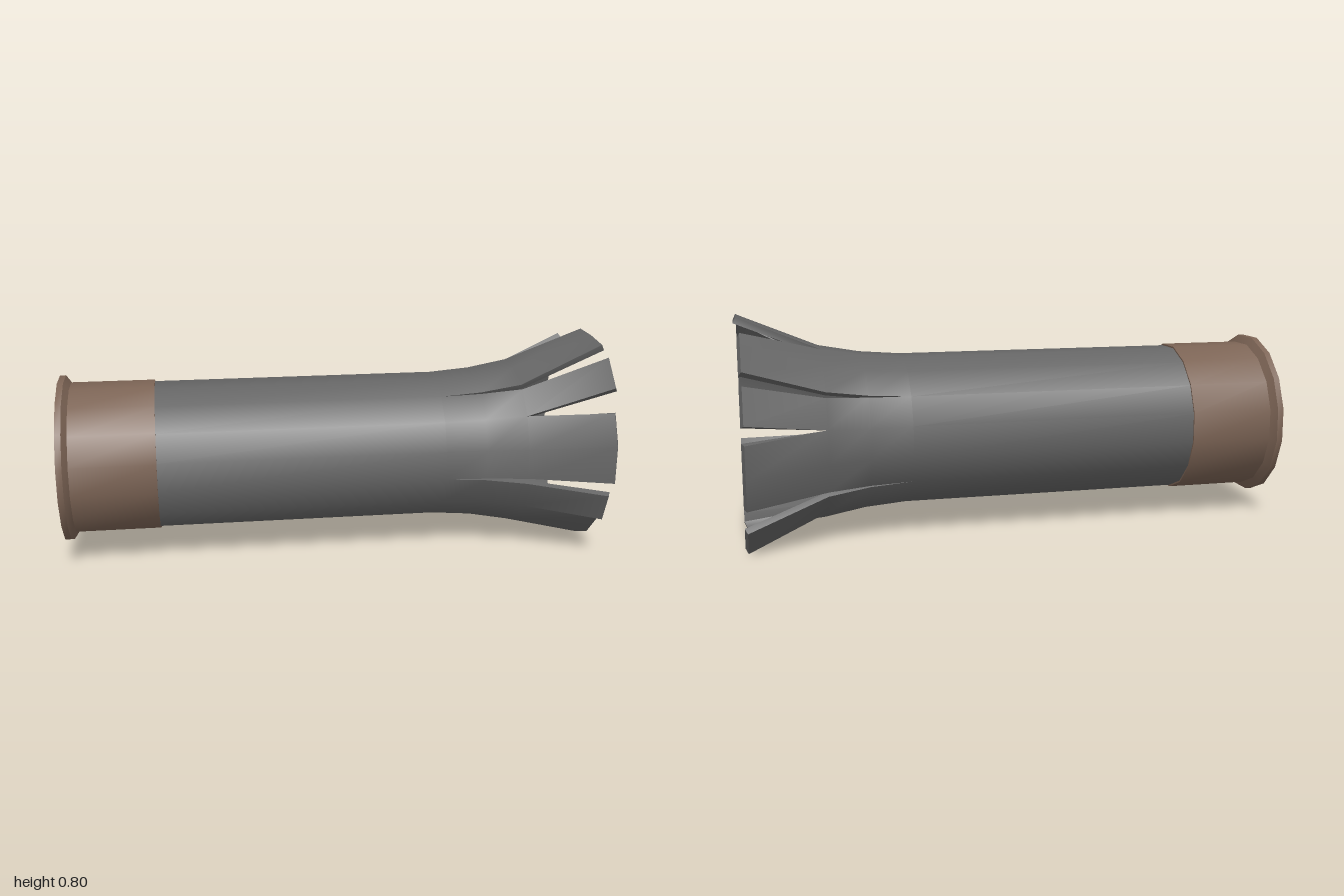
import * as THREE from 'three';
import { toCreasedNormals } from 'three/addons/utils/BufferGeometryUtils.js';

const CY = 0.374, CZ = -0.017, SIDES = 16, STEP = Math.PI / 8;
const grey = new THREE.MeshStandardMaterial({ color: 0x656565 }); grey.name = 'casing grey';
const brass = new THREE.MeshStandardMaterial({ color: 0x7c6455 }); brass.name = 'dull brown metal';
const steel = new THREE.MeshStandardMaterial({ color: 0x63686c }); steel.name = 'primer steel';

// Rows along the casing: x, outer radius, inward turn of a torn edge
const ROWS = [[-0.66, 0.277, 0], [0.4, 0.277, 0], [0.55, 0.289, 0.012], [0.7, 0.316, 0.035]];
const FLOOR_X = -0.66, WALL = 0.024;

// Torn petals in order round the casing: outer tip corners as [z, y]
const PETALS = [
  [[0.18, 0.793], [0.06, 0.803], [-0.055, 0.803]],
  [[-0.105, 0.752], [-0.22, 0.712]],
  [[-0.28, 0.735], [-0.362, 0.65]],
  [[-0.375, 0.605], [-0.425, 0.48]],
  [[-0.425, 0.415], [-0.425, 0.295], [-0.38, 0.18]],
  [[-0.365, 0.1], [-0.275, 0.003]],
  [[-0.195, 0.075], [-0.085, 0.04], [0.05, 0.04]],
  [[0.085, 0.01], [0.2, 0.06], [0.29, 0.15]],
  [[0.34, 0.165], [0.387, 0.275]],
  [[0.43, 0.34], [0.43, 0.48], [0.38, 0.59]],
  [[0.37, 0.68], [0.28, 0.77]],
];
const FIRST = 2;                            // facet corner where the first petal starts
const DEEP = new Set([2, 6, 9, 15]);        // corners torn all the way down

function casingGeometry() {
  const pos = [];
  const quad = (a, b, c, d) => { for (const p of [a, b, c, a, c, d]) pos.push(...p); };
  let corner = FIRST;

  PETALS.forEach((tips, index) => {
    const n = tips.length - 1, tipX = index === 0 ? 0.99 : 0.979;
    // Tip thickness runs along the petal's mean direction
    const mid = (corner + n / 2 + 0.5) * STEP;
    const start = corner;
    const point = (row, j, inner) => {
      const k = (start + j) % SIDES;
      if (row === ROWS.length) {
        const [z, y] = tips[j], t = inner ? 0.022 : 0;
        return [tipX + (inner ? 0.01 : 0), y - t * Math.sin(mid), z - t * Math.cos(mid)];
      }
      const [x, radius, turn] = ROWS[row];
      const torn = DEEP.has(k) ? (j === 0 ? turn : j === n ? -turn : 0) : 0;
      const a = (k + 0.5) * STEP + torn, r = radius - (inner ? WALL : 0);
      return [x, CY + r * Math.sin(a), CZ + r * Math.cos(a)];
    };

    for (let j = 0; j < n; j++) {
      for (let i = 0; i < ROWS.length; i++) {
        quad(point(i, j), point(i + 1, j), point(i + 1, j + 1), point(i, j + 1));
        quad(point(i, j, true), point(i, j + 1, true), point(i + 1, j + 1, true), point(i + 1, j, true));
      }
      // Tip edge
      const e = ROWS.length;
      quad(point(e, j), point(e, j, true), point(e, j + 1, true), point(e, j + 1));
    }
    // Torn side edges
    for (const j of [0, n]) {
      for (let i = DEEP.has((start + j) % SIDES) ? 1 : 3; i < ROWS.length; i++) {
        const w = [point(i, j), point(i, j, true), point(i + 1, j, true), point(i + 1, j)];
        if (j === n) w.reverse();
        quad(...w);
      }
    }
    corner += n;
  });

  const geometry = new THREE.BufferGeometry();
  geometry.setAttribute('position', new THREE.Float32BufferAttribute(pos, 3));
  return toCreasedNormals(geometry, 0.6);
}

export function createModel() {
  const group = new THREE.Group();
  group.name = 'spentCartridge';
  const add = (name, geometry, material, x = 0, y = CY, z = CZ) => {
    const mesh = new THREE.Mesh(geometry, material);
    mesh.name = name;
    mesh.position.set(x, y, z);
    group.add(mesh);
  };

  // Tube with flared, torn petals
  add('casing', casingGeometry(), grey, 0, 0, 0);

  // Floor inside the tube
  const floor = new THREE.CircleGeometry(0.253, SIDES, STEP / 2).rotateY(Math.PI / 2);
  add('casingFloor', floor, grey, FLOOR_X);

  // Metal head with its rim
  const profile = [[0, -1], [0.31, -1], [0.31, -0.978], [0.283, -0.96], [0.283, -0.652], [0.275, -0.652]]
    .map(([r, x]) => new THREE.Vector2(r, x));
  const head = new THREE.LatheGeometry(profile, SIDES, STEP / 2).rotateZ(-Math.PI / 2);
  add('head', toCreasedNormals(head, 0.45), brass);

  // Primer disc on the back of the head
  const primer = new THREE.CircleGeometry(0.11, 8, STEP).rotateY(-Math.PI / 2);
  add('primer', primer, steel, -1.002);

  return group;
}
